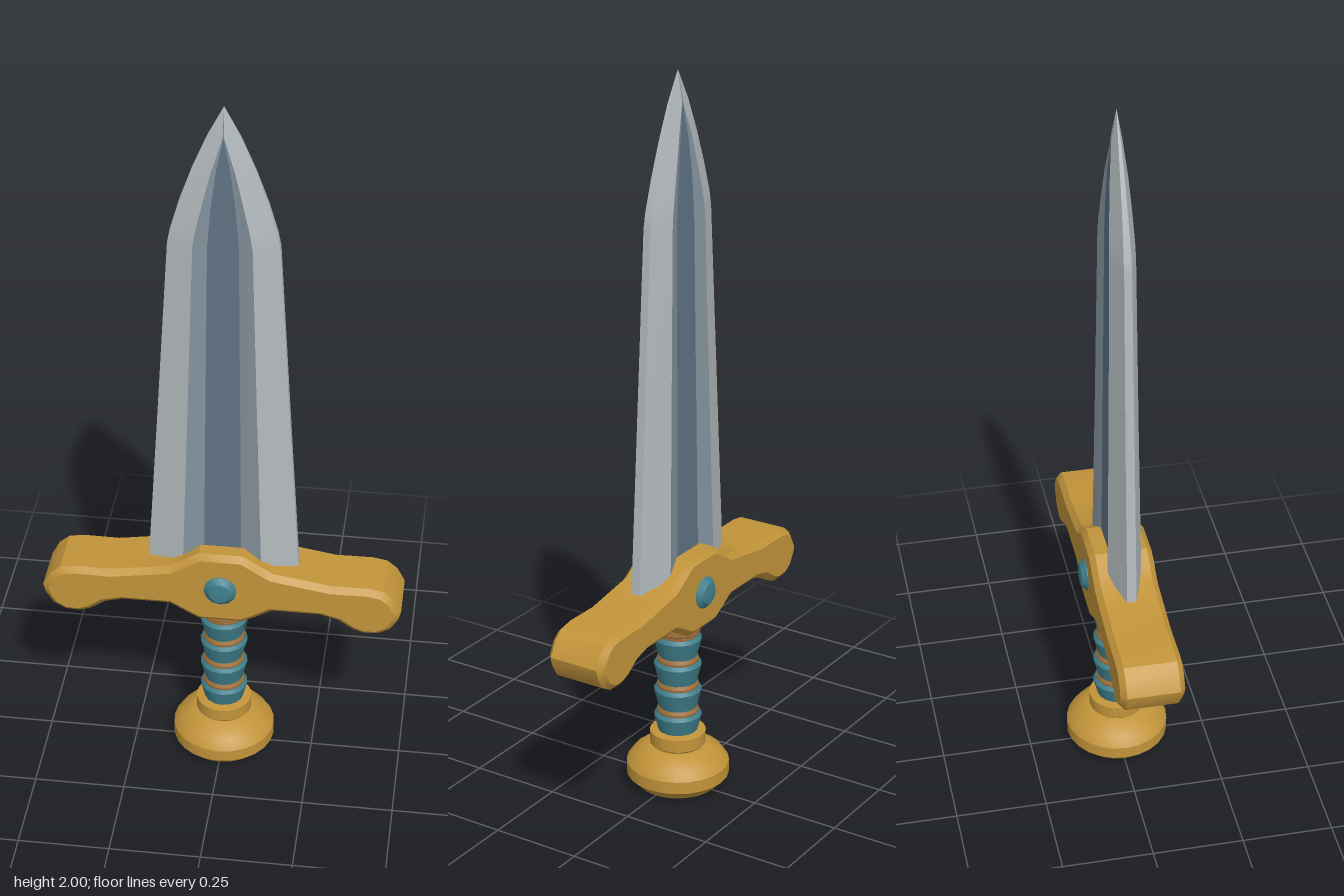
import * as THREE from 'three';
import { toCreasedNormals } from 'three/addons/utils/BufferGeometryUtils.js';

function material(name, color) {
  const m = new THREE.MeshStandardMaterial({ color });
  m.name = name;
  return m;
}

const steel = material('steel', 0xb3babd);
const fullerEdge = material('fuller edge steel', 0x84929d);
const fullerSteel = material('dark fuller steel', 0x5f7284);
const gold = material('gold', 0xc2943a);
const teal = material('teal', 0x3f7f8c);
const bronze = material('bronze', 0xa0703a);

function mesh(name, geometry, mat) {
  const m = new THREE.Mesh(geometry, mat);
  m.name = name;
  return m;
}

// Turned part from [radius, y] pairs, bottom to top
function turned(name, profile, mat, sides = 24) {
  const geo = new THREE.LatheGeometry(profile.map(p => new THREE.Vector2(p[0], p[1])), sides);
  return mesh(name, toCreasedNormals(geo, 0.45), mat);
}

// Blade stations: y, half width, ridge x, mid x, fuller x, half thickness, edge thickness, fuller depth factor
const stations = [
  [0.60, 0.207, 0.108, 0.078, 0.051, 0.047, 0.013, 0.70],
  [1.10, 0.175, 0.092, 0.068, 0.046, 0.040, 0.012, 0.70],
  [1.62, 0.143, 0.076, 0.057, 0.040, 0.034, 0.010, 0.70],
  [1.66, 0.135, 0.070, 0.053, 0.037, 0.033, 0.010, 0.72],
  [1.74, 0.112, 0.052, 0.042, 0.030, 0.029, 0.008, 0.78],
  [1.83, 0.080, 0.030, 0.026, 0.018, 0.023, 0.006, 0.86],
  [1.92, 0.042, 0.002, 0.001, 0.0005, 0.014, 0.004, 1.0],
  [2.00, 0.0005, 0.0002, 0.0001, 0.00005, 0.0005, 0.0003, 1.0],
];

// Closed cross-section, running over the front from +x to -x and back behind
function section([y, w, a, m, b, t, e, f]) {
  const half = [[w, e], [a, t], [m, t * (1 + f) / 2], [b, t * f]];
  const front = [...half, ...half.slice().reverse().map(([x, z]) => [-x, z])];
  const back = front.map(([x, z]) => [-x, -z]);
  return [...front, ...back].map(([x, z]) => [x, y, z]);
}

function createBlade() {
  const blade = new THREE.Group();
  blade.name = 'blade';
  const rings = stations.map(section);
  const n = rings[0].length;
  const mats = [steel, fullerEdge, fullerEdge, fullerSteel, fullerEdge, fullerEdge, steel, steel];
  const names = ['bevel', 'fullerSlope', 'fullerSlope', 'fuller', 'fullerSlope', 'fullerSlope', 'bevel', 'edge'];
  // One strip per facet keeps lengthwise creases crisp
  for (let i = 0; i < n; i++) {
    const pos = [], idx = [];
    rings.forEach((r, k) => {
      pos.push(...r[i], ...r[(i + 1) % n]);
      if (k > 0) {
        const o = (k - 1) * 2;
        idx.push(o, o + 2, o + 1, o + 1, o + 2, o + 3);
      }
    });
    const g = new THREE.BufferGeometry();
    g.setAttribute('position', new THREE.Float32BufferAttribute(pos, 3));
    g.setIndex(idx);
    g.computeVertexNormals();
    blade.add(mesh(names[i % 8], g, mats[i % 8]));
  }
  return blade;
}

function createGuard() {
  // Right half of the outline, top centre to bottom centre
  const right = [
    [0.06, 0.70], [0.10, 0.675], [0.14, 0.65], [0.22, 0.637], [0.30, 0.624], [0.40, 0.625],
    [0.44, 0.618], [0.468, 0.595], [0.49, 0.555], [0.484, 0.53], [0.463, 0.495], [0.43, 0.476],
    [0.39, 0.474], [0.36, 0.485], [0.32, 0.512], [0.27, 0.525], [0.14, 0.525], [0.10, 0.502], [0.06, 0.48],
  ];
  const outline = [...right, ...right.slice().reverse().map(([x, y]) => [-x, y])];
  const shape = new THREE.Shape(outline.map(([x, y]) => new THREE.Vector2(x, y)));
  const geo = new THREE.ExtrudeGeometry(shape, {
    depth: 0.142, bevelEnabled: true, bevelThickness: 0.015, bevelSize: 0.016, bevelOffset: -0.016, bevelSegments: 1,
  });
  geo.translate(0, 0, -0.071);
  return mesh('crossguard', toCreasedNormals(geo, 0.5), gold);
}

export function createModel() {
  const model = new THREE.Group();
  model.name = 'dagger';
  model.add(createBlade(), createGuard());

  // Domed gems on both faces of the guard
  for (const side of [1, -1]) {
    const gem = turned('gem', [[0.045, 0.07], [0.045, 0.088], [0.03, 0.102], [0, 0.106]], teal, 12);
    gem.rotation.x = side * Math.PI / 2;
    gem.position.y = 0.59;
    model.add(gem);
  }

  // Grip: flared wraps with recessed bands between them
  const grip = new THREE.Group();
  grip.name = 'grip';
  for (let i = 0; i < 4; i++) {
    const y = 0.155 + i * 0.077;
    grip.add(turned('gripWrap', [[0, y], [0.053, y], [0.059, y + 0.025], [0.066, y + 0.052], [0.059, y + 0.062], [0, y + 0.062]], teal, 16));
    grip.add(turned('gripBand', [[0.057, y + 0.058], [0.058, y + 0.068], [0.052, y + 0.08]], bronze, 16));
  }
  grip.add(turned('gripCollar', [[0.052, 0.45], [0.062, 0.46], [0.062, 0.475], [0.052, 0.5]], bronze, 16));
  model.add(grip);

  // Pommel with a stepped neck
  model.add(turned('pommel', [
    [0, 0], [0.112, 0], [0.142, 0.03], [0.142, 0.065], [0.125, 0.09], [0.09, 0.113], [0.068, 0.118],
  ], gold));
  model.add(turned('pommelNeck', [[0.068, 0.112], [0.077, 0.122], [0.077, 0.158], [0.05, 0.162]], gold));
  return model;
}
